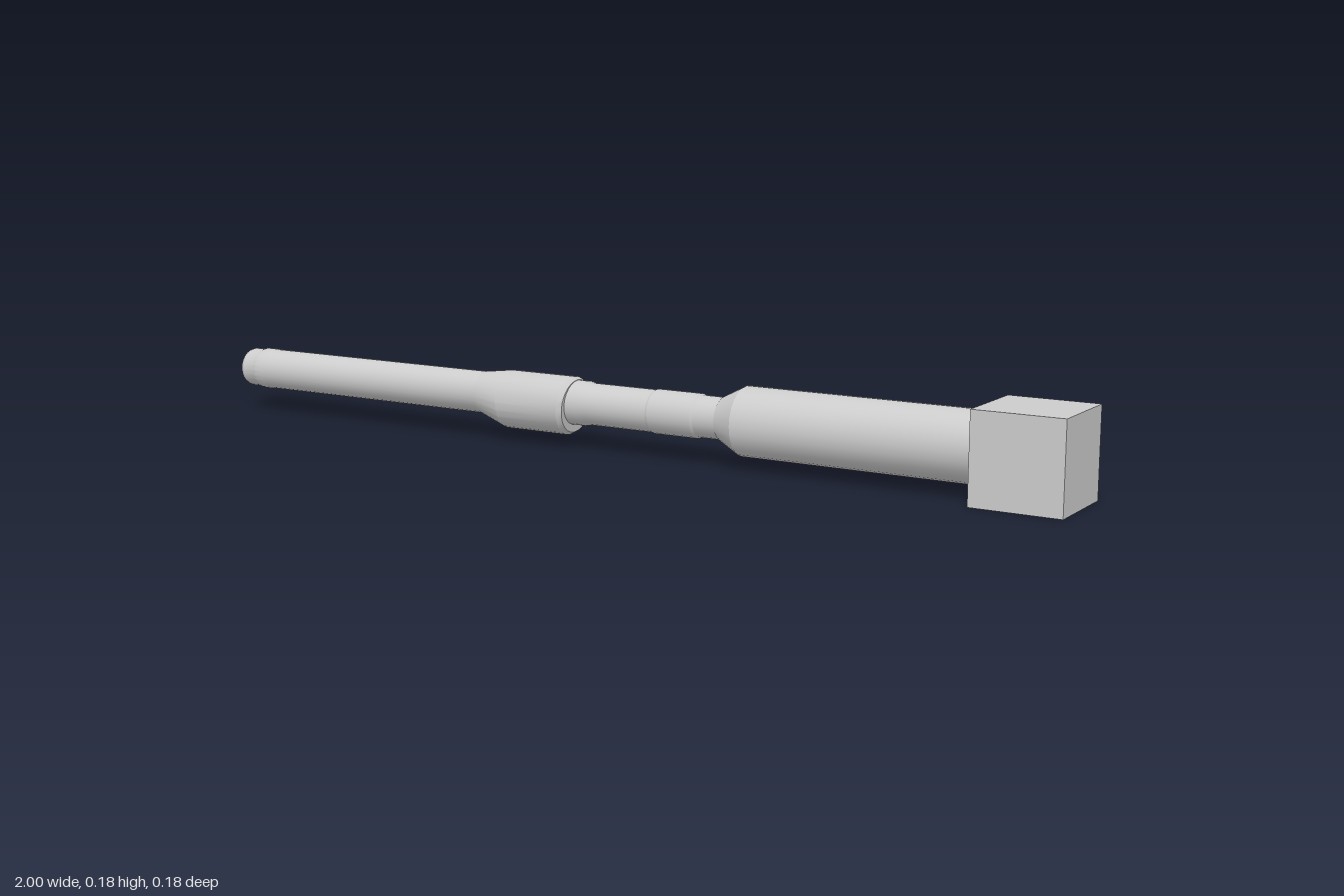
import * as THREE from 'three';
import { toCreasedNormals } from 'three/addons/utils/BufferGeometryUtils.js';

const SIDES = 24;
const material = new THREE.MeshStandardMaterial({ color: 0xcccccc });

// Solid of revolution along x; profile is a list of [x, radius], deform may shift vertices
function turned(name, profile, deform) {
  const geo = new THREE.LatheGeometry(profile.map(([x, r]) => new THREE.Vector2(r, x)), SIDES);
  geo.rotateZ(-Math.PI / 2);
  if (deform) {
    const pos = geo.attributes.position;
    const v = new THREE.Vector3();
    for (let i = 0; i < pos.count; i++) {
      deform(v.fromBufferAttribute(pos, i));
      pos.setXYZ(i, v.x, v.y, v.z);
    }
  }
  const mesh = new THREE.Mesh(toCreasedNormals(geo, 0.35), material);
  mesh.name = name;
  return mesh;
}

export function createModel() {
  const model = new THREE.Group();
  model.name = 'steppedShaft';

  // Round parts share one axis
  const axis = new THREE.Group();
  axis.name = 'turnedParts';
  axis.position.set(0, 0.094, -0.003);
  model.add(axis);

  // Hollow tip and long slim tube
  axis.add(turned('frontTube', [
    [-0.9, 0], [-0.9, 0.026], [-1, 0.026], [-1, 0.04], [-0.992, 0.043], [-0.965, 0.043],
    [-0.955, 0.046], [-0.93, 0.046], [-0.925, 0.045], [-0.2, 0.045], [-0.2, 0],
  ]));

  // Bulge that sags below the axis and ends in a slanted face
  axis.add(turned('bulge', [
    [-0.33, 0], [-0.33, 0.045], [-0.26, 0.062], [-0.105, 0.062], [-0.095, 0.056], [-0.095, 0],
  ], (v) => {
    const sag = THREE.MathUtils.clamp((v.x + 0.33) / 0.07, 0, 1);
    if (v.x > -0.15) v.x += v.y * 0.08;
    v.y -= 0.008 * sag;
  }));

  // Neck with collar and shallow steps
  axis.add(turned('neck', [
    [-0.15, 0], [-0.15, 0.047], [-0.065, 0.047], [-0.05, 0.044], [0.1, 0.044], [0.105, 0.046],
    [0.205, 0.046], [0.21, 0.043], [0.3, 0.043], [0.3, 0],
  ]));

  // Thick rear barrel with a tapered shoulder
  axis.add(turned('rearBarrel', [
    [0.26, 0], [0.26, 0.045], [0.275, 0.053], [0.31, 0.071], [0.83, 0.071], [0.83, 0],
  ]));

  // Cube at the end
  const block = new THREE.Mesh(new THREE.BoxGeometry(0.181, 0.181, 0.181), material);
  block.name = 'endBlock';
  block.position.set(0.9095, 0.0905, 0);
  model.add(block);

  return model;
}
